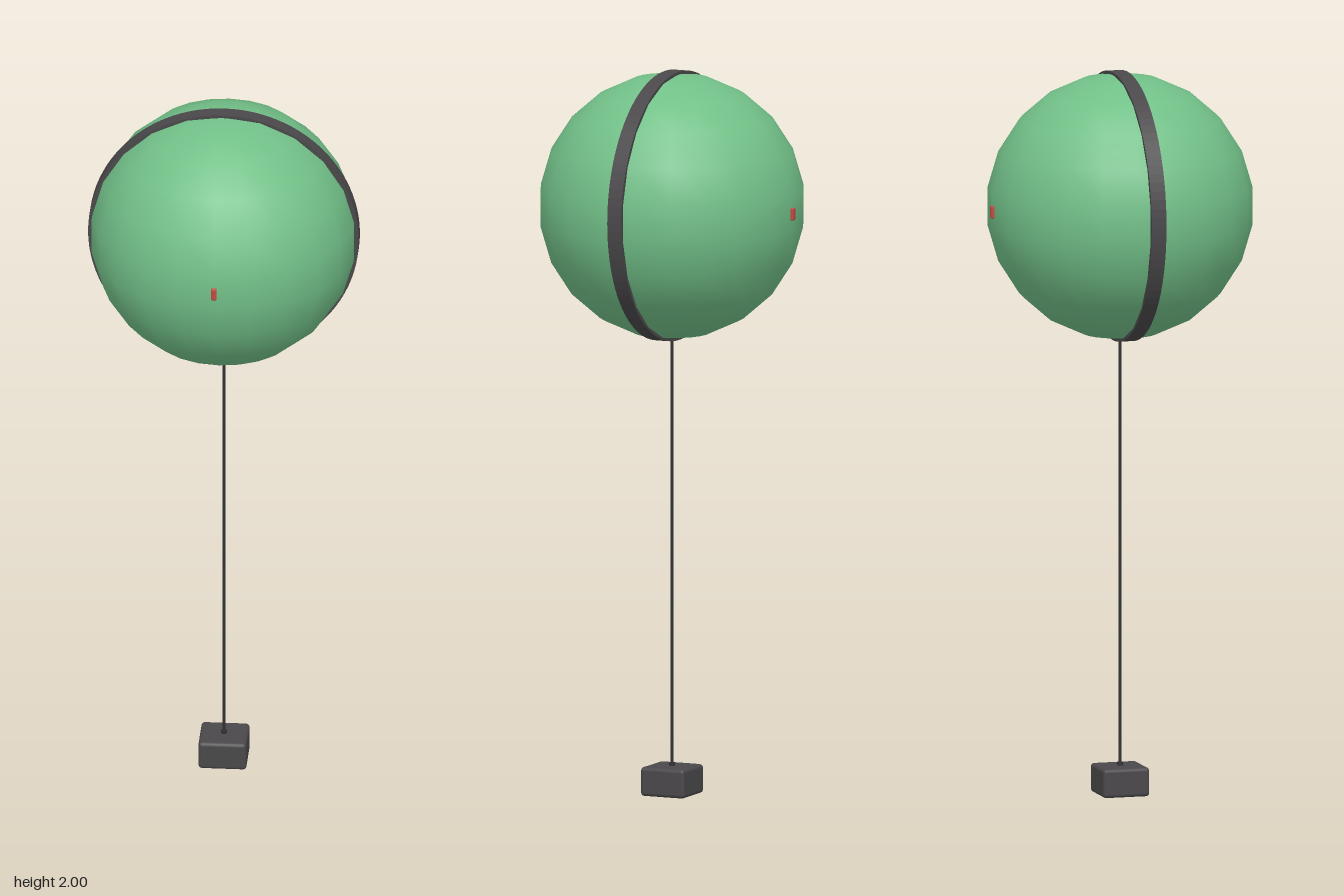
import * as THREE from 'three';
import { RoundedBoxGeometry } from 'three/addons/geometries/RoundedBoxGeometry.js';

const CENTER_Y = 1.629;

export function createModel() {
  const model = new THREE.Group();
  const material = (color) => new THREE.MeshStandardMaterial({ color });
  const green = material(0x72c088);
  const dark = material(0x4a484a);
  const black = material(0x333338);
  const red = material(0xc04a40);

  const add = (name, geometry, mat, x = 0, y = 0, z = 0) => {
    const mesh = new THREE.Mesh(geometry, mat);
    mesh.name = name;
    mesh.position.set(x, y, z);
    model.add(mesh);
    return mesh;
  };

  // Balloon, turned so that vertices of its rings point along z
  const ball = new THREE.SphereGeometry(0.366, 22, 11).rotateY(Math.PI / 2);
  add('balloon', ball, green, 0, CENTER_Y, 0);

  // Flat band standing upright around the balloon
  const ring = new THREE.Shape().absarc(0, 0, 0.371, 0, Math.PI * 2);
  ring.holes.push(new THREE.Path().absarc(0, 0, 0.352, 0, Math.PI * 2, true));
  const band = new THREE.ExtrudeGeometry(ring, { depth: 0.042, bevelEnabled: false, curveSegments: 48 });
  add('band', band.translate(0, 0, -0.021), dark, 0, CENTER_Y, 0);

  // Small lamps on the front and back
  for (const side of [1, -1]) {
    add(side > 0 ? 'frontLamp' : 'backLamp',
      new RoundedBoxGeometry(0.015, 0.034, 0.02, 2, 0.003), red, 0, CENTER_Y, side * 0.36);
  }

  // Tether and its fixing on the weight
  add('tether', new THREE.CylinderGeometry(0.004, 0.004, 1.2, 8), black, 0, 0.67, 0);
  add('tetherFixing', new THREE.CylinderGeometry(0.008, 0.008, 0.012, 12), black, 0, 0.083, 0);

  // Ground weight
  add('weight', new RoundedBoxGeometry(0.132, 0.08, 0.132, 2, 0.01), dark, 0, 0.04, 0);

  return model;
}
